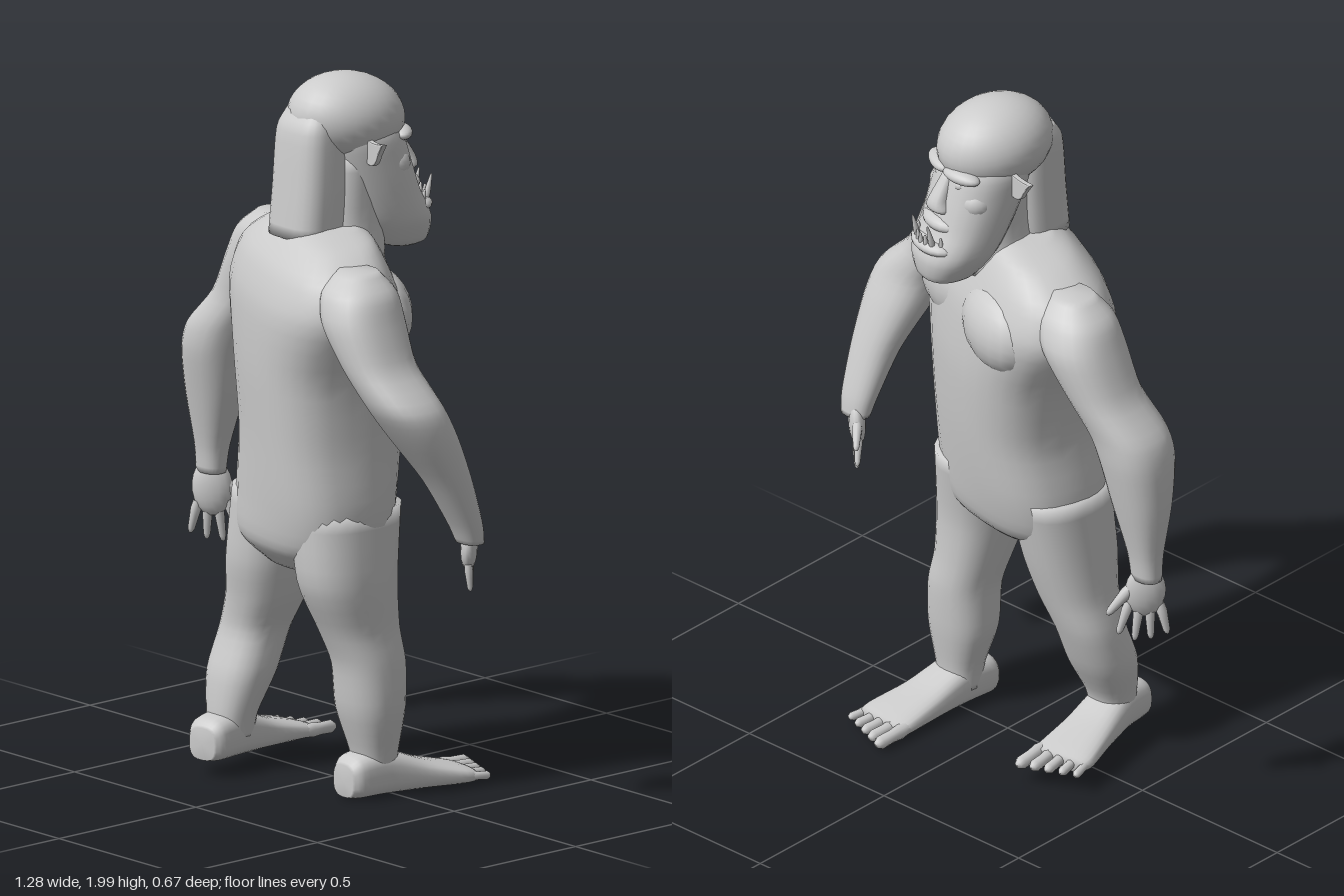
import * as THREE from 'three';

const grey = new THREE.MeshStandardMaterial({ color: 0xcccccc, side: THREE.DoubleSide });

function mesh(geometry, name, parent) {
  const m = new THREE.Mesh(geometry, grey);
  m.name = name;
  parent.add(m);
  return m;
}

// Closed loft through horizontal superellipse sections, listed by rising y: [x, y, z, rx, rz, yaw]
function loft(stations, { sides = 24, steps = 4, power = 2.3 } = {}) {
  const centres = new THREE.CatmullRomCurve3(stations.map(s => new THREE.Vector3(s[0], s[1], s[2])), false, 'catmullrom', 0.4);
  const radii = new THREE.CatmullRomCurve3(stations.map(s => new THREE.Vector3(s[3], s[4], s[5] || 0)), false, 'catmullrom', 0.4);
  const rows = (stations.length - 1) * steps;
  const pos = [], idx = [];
  const soft = v => Math.sign(v) * Math.abs(v) ** (2 / power);
  for (let i = 0; i <= rows; i++) {
    const c = centres.getPoint(i / rows), r = radii.getPoint(i / rows);
    const cs = Math.cos(r.z), sn = Math.sin(r.z);
    for (let j = 0; j < sides; j++) {
      const t = (j / sides) * Math.PI * 2;
      const u = r.x * soft(Math.cos(t)), v = r.y * soft(Math.sin(t));
      pos.push(c.x + u * cs - v * sn, c.y, c.z + u * sn + v * cs);
    }
  }
  for (let i = 0; i < rows; i++) for (let j = 0; j < sides; j++) {
    const k = (j + 1) % sides;
    const a = i * sides + j, b = i * sides + k, c = a + sides, d = b + sides;
    idx.push(a, c, b, b, c, d);
  }
  const low = pos.length / 3, first = stations[0], last = stations[stations.length - 1];
  pos.push(...first.slice(0, 3), ...last.slice(0, 3));
  for (let j = 0; j < sides; j++) {
    const k = (j + 1) % sides, top = rows * sides;
    idx.push(low, j, k, low + 1, top + k, top + j);
  }
  const g = new THREE.BufferGeometry();
  g.setAttribute('position', new THREE.Float32BufferAttribute(pos, 3));
  g.setIndex(idx);
  g.computeVertexNormals();
  return g;
}

// Round-tipped tapered digit from one point to another
function digit(parent, name, from, to, r0, r1) {
  const a = new THREE.Vector3(...from), dir = new THREE.Vector3(...to).sub(a), len = dir.length();
  const profile = [[r0 * 0.8, 0], [r0, len * 0.25], [r0 * 0.85, len * 0.5], [r1, len * 0.85], [r1 * 0.6, len * 0.96], [0, len]];
  const m = mesh(new THREE.LatheGeometry(profile.map(p => new THREE.Vector2(...p)), 10), name, parent);
  m.position.copy(a);
  m.quaternion.setFromUnitVectors(new THREE.Vector3(0, 1, 0), dir.normalize());
}

function ball(parent, name, p, s, n = 20) {
  const m = mesh(new THREE.SphereGeometry(1, n, n * 0.7), name, parent);
  m.position.set(...p);
  m.scale.set(...s);
  return m;
}

// Hand hanging down -y, spread along x, thumb toward side * -x
function hand(parent, name, side, p, size, yaw, lean) {
  const g = new THREE.Group();
  g.name = name;
  ball(g, 'palm', [0, -0.055, 0], [0.045, 0.065, 0.024], 16);
  for (let i = 0; i < 4; i++) {
    const o = (i - 1.5) * side;
    const tip = -0.185 + Math.abs(i - 1.3) * 0.015;
    digit(g, 'finger', [o * 0.022, -0.085, 0], [o * 0.036, tip, -0.01], 0.012, 0.008);
  }
  digit(g, 'thumb', [-0.03 * side, -0.045, 0], [-0.082 * side, -0.115, -0.012], 0.014, 0.009);
  g.position.set(...p);
  g.scale.setScalar(size);
  g.rotation.set(-0.05, yaw, lean, 'YXZ');
  parent.add(g);
}

// Foot with the heel at the origin and the toes toward -z
function foot(parent, name, side, p, yaw) {
  const g = new THREE.Group();
  g.name = name;
  const sole = loft([
    [0, 0, 0.05, 0.045, 0.045], [0, 0.03, 0.06, 0.064, 0.06], [0, 0.12, 0.064, 0.066, 0.064],
    [0.005 * side, 0.24, 0.042, 0.076, 0.042], [0.01 * side, 0.35, 0.027, 0.09, 0.027], [0.01 * side, 0.39, 0.022, 0.084, 0.02],
  ], { power: 2.8 });
  mesh(sole.rotateX(-Math.PI / 2), 'sole', g);
  for (let i = 0; i < 5; i++) {
    const x = (i - 2) * 0.036 * side + 0.01 * side, r = 0.021 - i * 0.0018;
    digit(g, 'toe', [x, 0.026, -0.35], [x * 1.12, 0.02, -0.475 + i * 0.011], r, r * 0.9);
  }
  g.position.set(...p);
  g.rotation.y = yaw;
  parent.add(g);
}

function buildHead(parent) {
  const head = new THREE.Group();
  head.name = 'head';
  head.position.set(0.02, 0, -0.03);
  head.rotation.y = -0.27;
  parent.add(head);

  mesh(loft([
    [0, 1.495, -0.165, 0.045, 0.045], [0, 1.515, -0.155, 0.08, 0.082], [0, 1.58, -0.13, 0.115, 0.113],
    [0, 1.66, -0.09, 0.127, 0.115], [0, 1.75, -0.055, 0.132, 0.122], [0, 1.83, -0.03, 0.13, 0.12], [0, 1.9, -0.01, 0.09, 0.09],
  ]), 'face', head);
  const cap = ball(head, 'skullCap', [0, 1.872, 0], [0.141, 0.125, 0.168], 28);
  cap.rotation.x = -0.12;

  // Nose, mouth and lower jaw
  mesh(loft([
    [0, 1.70, -0.165, 0.03, 0.02], [0, 1.715, -0.178, 0.042, 0.032], [0, 1.745, -0.178, 0.03, 0.028], [0, 1.82, -0.14, 0.018, 0.02],
  ], { sides: 14 }), 'nose', head);
  ball(head, 'upperLip', [0, 1.672, -0.165], [0.075, 0.028, 0.05]);
  ball(head, 'lowerLip', [0, 1.61, -0.195], [0.085, 0.026, 0.055]);
  for (let i = 0; i < 7; i++) {
    const x = (i - 3) * 0.019, tusk = i === 1 || i === 5;
    const z = -0.237 + x * x * 9;
    digit(head, 'tooth', [x, 1.615, z], [x, tusk ? 1.69 : 1.652, z - (tusk ? 0.018 : 0.004)], tusk ? 0.009 : 0.007, 0.004);
  }

  // Brow, eyes and pointed ears on both sides
  const ear = new THREE.Shape();
  ear.moveTo(0, -0.03);
  ear.quadraticCurveTo(0.05, -0.045, 0.07, 0);
  ear.lineTo(0.1, 0.036);
  ear.quadraticCurveTo(0.05, 0.022, 0, 0.03);
  const earGeo = new THREE.ExtrudeGeometry(ear, { depth: 0.008, bevelSize: 0.004, bevelThickness: 0.004, bevelSegments: 2 });
  for (const s of [-1, 1]) {
    const brow = ball(head, 'brow', [s * 0.055, 1.825, -0.142], [0.062, 0.02, 0.03]);
    brow.rotation.y = s * -0.3;
    ball(head, 'eye', [s * 0.05, 1.795, -0.145], [0.018, 0.014, 0.014], 12);
    ball(head, 'cheek', [s * 0.075, 1.745, -0.105], [0.05, 0.045, 0.05]);
    const e = mesh(earGeo, 'ear', head);
    e.position.set(s * 0.115, 1.8, -0.015);
    if (s < 0) e.rotation.y = Math.PI;
  }

  // Long hair hanging down the back, and the neck
  mesh(loft([
    [0.005, 1.56, 0.095, 0.102, 0.092], [0.005, 1.7, 0.085, 0.1, 0.088],
    [0, 1.85, 0.075, 0.096, 0.08], [0, 1.905, 0.065, 0.08, 0.06],
  ], { power: 3 }), 'hair', parent);
  mesh(loft([[0.02, 1.48, 0, 0.13, 0.12], [0.03, 1.6, -0.02, 0.1, 0.1], [0.03, 1.78, -0.03, 0.1, 0.09]]), 'neck', parent);
}

export function createModel() {
  const model = new THREE.Group();
  model.name = 'figure';

  // Torso, twisted so that the left shoulder is drawn back
  mesh(loft([
    [0, 0.63, 0.08, 0.12, 0.1, 0.15], [0, 0.7, 0.075, 0.25, 0.165, 0.2], [0.01, 0.82, 0.07, 0.275, 0.185, 0.3],
    [0.02, 1.0, 0.065, 0.27, 0.2, 0.38], [0.01, 1.2, 0.06, 0.31, 0.21, 0.42], [0, 1.38, 0.06, 0.4, 0.2, 0.44],
    [0, 1.49, 0.06, 0.37, 0.165, 0.44], [0.01, 1.56, 0.05, 0.26, 0.12, 0.44], [0.01, 1.59, 0.04, 0.12, 0.08, 0.44],
  ], { sides: 32, power: 2.6 }), 'torso', model);

  const chest = new THREE.Group();
  chest.name = 'chest';
  chest.position.set(0, 0, 0.06);
  chest.rotation.y = -0.44;
  model.add(chest);
  for (const s of [-1, 1]) ball(chest, 'pectoral', [s * 0.15, 1.36, -0.125], [0.165, 0.125, 0.095]);

  // Arms: one drawn back with the forearm reaching forward, one hanging
  mesh(loft([
    [0.565, 0.78, 0, 0.045, 0.032], [0.565, 0.84, 0.02, 0.055, 0.042], [0.56, 0.97, 0.08, 0.072, 0.062],
    [0.54, 1.1, 0.15, 0.098, 0.088], [0.515, 1.19, 0.195, 0.105, 0.1], [0.435, 1.29, 0.215, 0.09, 0.105],
    [0.37, 1.4, 0.215, 0.105, 0.115], [0.34, 1.48, 0.205, 0.1, 0.1], [0.32, 1.535, 0.19, 0.055, 0.05],
  ]), 'leftArm', model);
  mesh(loft([
    [-0.58, 0.74, -0.07, 0.045, 0.035], [-0.575, 0.82, -0.07, 0.052, 0.044], [-0.56, 0.97, -0.068, 0.084, 0.075],
    [-0.54, 1.1, -0.065, 0.1, 0.1], [-0.51, 1.18, -0.068, 0.105, 0.105], [-0.435, 1.28, -0.085, 0.095, 0.105],
    [-0.365, 1.4, -0.09, 0.11, 0.115], [-0.33, 1.48, -0.08, 0.105, 0.095], [-0.31, 1.535, -0.07, 0.055, 0.05],
  ]), 'rightArm', model);
  hand(model, 'leftHand', 1, [0.565, 0.81, 0], 1.0, -0.75, -0.28);
  hand(model, 'rightHand', -1, [-0.58, 0.765, -0.07], 1.25, 0.75, 0.05);

  // Legs in mid stride
  mesh(loft([
    [0.205, 0.06, 0.03, 0.06, 0.055], [0.208, 0.13, 0.035, 0.07, 0.062], [0.205, 0.25, 0.045, 0.098, 0.088],
    [0.203, 0.38, 0.05, 0.097, 0.1], [0.185, 0.48, 0.07, 0.1, 0.115], [0.173, 0.62, 0.1, 0.117, 0.145], [0.155, 0.82, 0.09, 0.12, 0.165],
  ]), 'leftLeg', model);
  mesh(loft([
    [-0.245, 0.1, 0.155, 0.06, 0.06], [-0.245, 0.17, 0.15, 0.072, 0.066], [-0.245, 0.28, 0.115, 0.097, 0.088],
    [-0.235, 0.4, 0.075, 0.096, 0.092], [-0.2, 0.5, 0.065, 0.105, 0.11], [-0.175, 0.62, 0.06, 0.116, 0.135], [-0.15, 0.82, 0.04, 0.12, 0.155],
  ]), 'rightLeg', model);
  foot(model, 'leftFoot', 1, [0.2, 0.005, 0.14], -0.1);
  foot(model, 'rightFoot', -1, [-0.235, 0.045, 0.27], 0.13);

  buildHead(model);
  return model;
}
